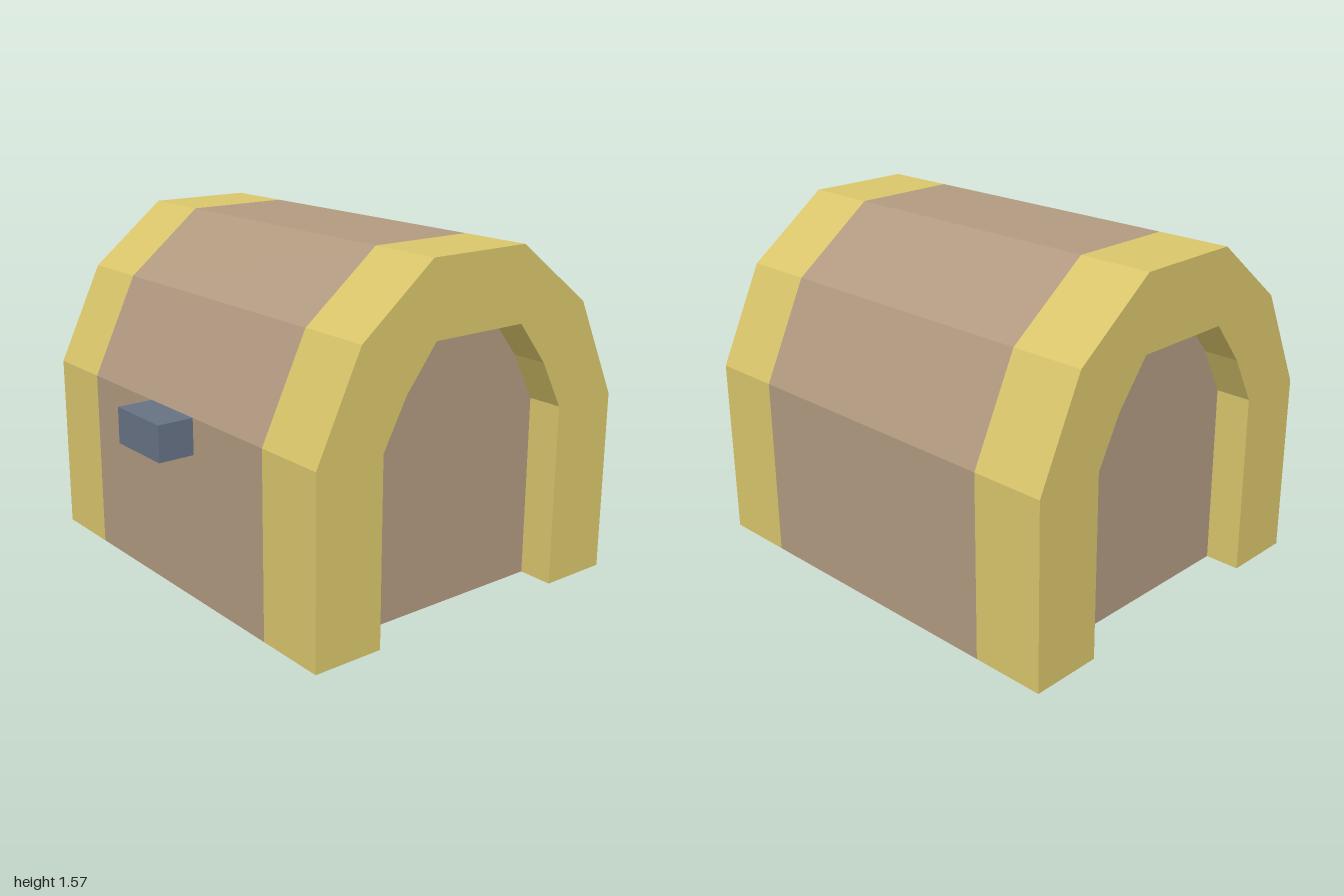
import * as THREE from 'three';

const gold = new THREE.MeshStandardMaterial({ name: 'gold', color: 0xd9c56b });
const brown = new THREE.MeshStandardMaterial({ name: 'brown', color: 0xb19a80 });
const slate = new THREE.MeshStandardMaterial({ name: 'slate', color: 0x667284 });

// Barrel cross-sections as [z, y], from the front foot over the top to the back foot
const outer = [[0.75, 0], [0.75, 0.835], [0.535, 1.285], [0.18, 1.57],
  [-0.32, 1.57], [-0.7, 1.285], [-0.915, 0.835], [-0.915, 0]];
const inner = [[0.42, 0], [0.42, 0.835], [0.305, 1.05], [0.155, 1.24],
  [-0.32, 1.24], [-0.47, 1.05], [-0.585, 0.835], [-0.585, 0]];

const END = 1, BAND = 0.66, PANEL = 0.835; // x of end face, colour break, recessed panel

// Flat-faceted strip following a profile between two x positions
function strip(profile, x0, x1) {
  const pos = [];
  for (let i = 0; i < profile.length - 1; i++) {
    const [az, ay] = profile[i], [bz, by] = profile[i + 1];
    pos.push(x0, ay, az, x1, ay, az, x1, by, bz);
    pos.push(x0, ay, az, x1, by, bz, x0, by, bz);
  }
  const geo = new THREE.BufferGeometry();
  geo.setAttribute('position', new THREE.Float32BufferAttribute(pos, 3));
  geo.computeVertexNormals();
  return geo;
}

// Flat face across the barrel at x, facing outward on the given side
function endFace(outline, x, side) {
  const shape = new THREE.Shape(outline.map(([z, y]) => new THREE.Vector2(-side * z, y)));
  return new THREE.ShapeGeometry(shape).rotateY(side * Math.PI / 2).translate(side * x, 0, 0);
}

export function createModel() {
  const model = new THREE.Group();
  model.name = 'chest';
  const add = (name, geo, mat, parent = model) => {
    const mesh = new THREE.Mesh(geo, mat);
    mesh.name = name;
    parent.add(mesh);
    return mesh;
  };

  // Middle of the barrel
  add('body', strip(outer, -BAND, BAND), brown);

  // Both ends: outer band, arched rim, recess wall and recessed panel
  const innerBack = [...inner].reverse();
  for (const side of [1, -1]) {
    const end = new THREE.Group();
    end.name = side > 0 ? 'leftEnd' : 'rightEnd';
    model.add(end);
    const span = (a, b) => (side > 0 ? [a, b] : [-b, -a]);
    add('band', strip(outer, ...span(BAND, END)), gold, end);
    add('rim', endFace([...outer, ...innerBack], END, side), gold, end);
    add('recessWall', strip(innerBack, ...span(PANEL, END)), gold, end);
    add('endPanel', endFace(inner, PANEL, side), brown, end);
  }

  // Underside, notched where the ends are recessed
  const f = outer[0][0], b = outer[7][0], nf = inner[0][0], nb = inner[7][0];
  const floor = new THREE.Shape([
    [-END, f], [-END, nf], [-PANEL, nf], [-PANEL, nb], [-END, nb], [-END, b],
    [END, b], [END, nb], [PANEL, nb], [PANEL, nf], [END, nf], [END, f],
  ].map(([x, z]) => new THREE.Vector2(x, z)));
  add('underside', new THREE.ShapeGeometry(floor).rotateX(Math.PI / 2), slate);

  // Latch on the front
  add('latch', new THREE.BoxGeometry(0.33, 0.165, 0.17), slate).position.set(0, 0.7525, 0.834);

  return model;
}
